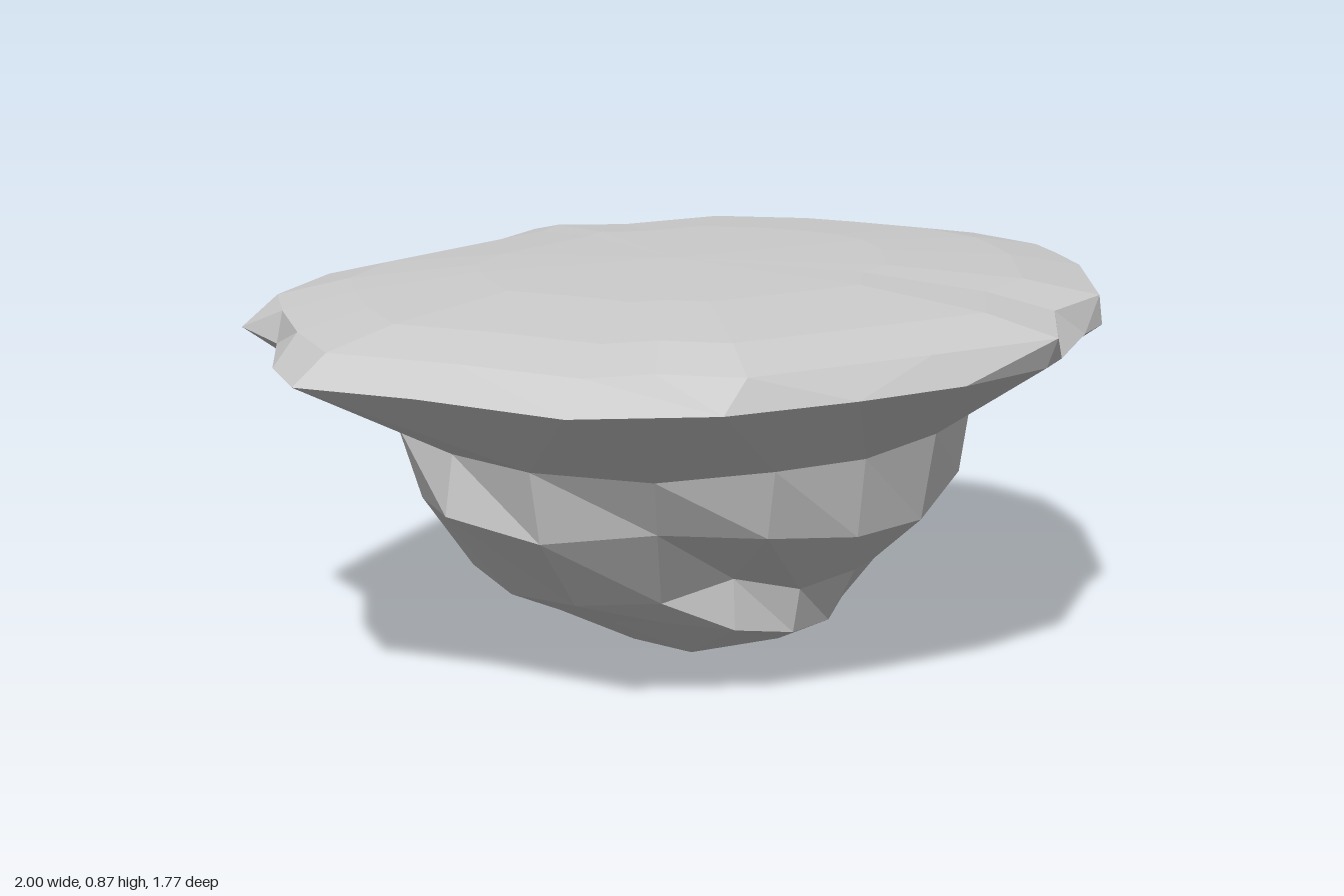
import * as THREE from 'three';

// Rim corners as [x, z], running from the left side round by the front
const LOWER_RIM = [
  [0.99, -0.05], [0.97, 0.26], [0.89, 0.38], [0.65, 0.65], [0.55, 0.69], [0.33, 0.82],
  [0.24, 0.86], [0, 0.865], [-0.25, 0.82], [-0.53, 0.74], [-0.77, 0.56], [-0.88, 0.24],
  [-1, 0], [-0.93, -0.17], [-0.79, -0.36], [-0.75, -0.55], [-0.57, -0.64], [-0.25, -0.78],
  [0, -0.89], [0.25, -0.79], [0.4, -0.69], [0.7, -0.61], [0.86, -0.41], [0.94, -0.28],
];
const UPPER_RIM = [
  [1, -0.06], [1, 0.14], [0.95, 0.25], [0.88, 0.38], [0.65, 0.64], [0.45, 0.69],
  [0.25, 0.88], [-0.05, 0.82], [-0.46, 0.73], [-0.57, 0.59], [-0.7, 0.53], [-0.8, 0.27],
  [-0.93, 0.02], [-0.86, -0.18], [-0.76, -0.38], [-0.67, -0.53], [-0.45, -0.65], [-0.12, -0.7],
  [0.15, -0.74], [0.25, -0.79], [0.4, -0.67], [0.69, -0.6], [0.86, -0.4], [0.92, -0.27],
];

// Ring from outline corners, scaled toward the middle
const outlineRing = (pts, y, s = 1) => pts.map(([x, z]) => new THREE.Vector3(x * s, y, z * s));

// Ring from radii at equal angles, with optional height offsets by index
const radialRing = (y, radii, lift = {}) => radii.map((r, i) => {
  const a = (i / radii.length) * Math.PI * 2;
  return new THREE.Vector3(r * Math.cos(a), y + (lift[i] ?? 0), r * Math.sin(a));
});

// Angle of corner i, counting past the end as a full turn
function angleAt(ring, i) {
  if (i >= ring.length) return angleAt(ring, i - ring.length) + Math.PI * 2;
  const a = Math.atan2(ring[i].z, ring[i].x);
  return i > 0 && a < 0 ? a + Math.PI * 2 : a;
}

// Triangles between an upper and a lower ring of any corner counts
function stitch(out, up, low) {
  const nu = up.length > 1 ? up.length : 0;
  const nl = low.length > 1 ? low.length : 0;
  let i = 0, j = 0;
  while (i < nu || j < nl) {
    const u = up[i % up.length], l = low[j % low.length];
    if (j >= nl || (i < nu && angleAt(up, i + 1) <= angleAt(low, j + 1))) {
      i++;
      out.push(u, up[i % up.length], l);
    } else {
      j++;
      out.push(u, low[j % low.length], l);
    }
  }
}

function ringMesh(name, rings) {
  const tris = [];
  for (let k = 0; k + 1 < rings.length; k++) stitch(tris, rings[k], rings[k + 1]);
  const geometry = new THREE.BufferGeometry().setFromPoints(tris);
  geometry.computeVertexNormals();
  const material = new THREE.MeshStandardMaterial({
    color: 0xcccccc, flatShading: true, side: THREE.DoubleSide,
  });
  const mesh = new THREE.Mesh(geometry, material);
  mesh.name = name;
  return mesh;
}

export function createModel() {
  const group = new THREE.Group();
  group.name = 'floatingIsland';

  const upperRim = outlineRing(UPPER_RIM, 0.793);
  const lowerRim = outlineRing(LOWER_RIM, 0.73);

  // Gently domed ground on top
  group.add(ringMesh('groundTop', [
    [new THREE.Vector3(0, 0.865, 0)],
    outlineRing(UPPER_RIM, 0.854, 0.5),
    outlineRing(UPPER_RIM, 0.827, 0.82),
    upperRim,
  ]));

  // Narrow faceted edge of the ground
  group.add(ringMesh('groundRim', [upperRim, lowerRim]));

  // Craggy rock with pits and a front ledge, tapering to a point
  group.add(ringMesh('rockUnderside', [
    lowerRim,
    radialRing(0.54,
      [0.72, 0.58, 0.64, 0.61, 0.59, 0.62, 0.64, 0.66, 0.61, 0.62, 0.61, 0.56, 0.59, 0.62, 0.6, 0.62],
      { 0: -0.01, 4: -0.01, 6: -0.01, 8: -0.01, 12: -0.01 }),
    radialRing(0.38,
      [0.65, 0.62, 0.62, 0.58, 0.57, 0.58, 0.56, 0.62, 0.63, 0.57, 0.54, 0.53, 0.46, 0.5, 0.61, 0.67],
      { 1: -0.01, 2: 0.02, 3: -0.03, 4: -0.02, 5: 0.01, 6: 0.02, 8: 0.02, 10: -0.02, 14: -0.02 }),
    radialRing(0.2,
      [0.46, 0.47, 0.44, 0.43, 0.4, 0.38, 0.44, 0.47, 0.46, 0.46, 0.46, 0.45, 0.43, 0.44, 0.45, 0.46],
      { 1: 0.02, 3: 0.02, 4: 0.01, 5: 0.05, 6: 0.02, 7: 0.01, 9: 0.02, 13: 0.02 }),
    radialRing(0.1,
      [0.35, 0.36, 0.37, 0.37, 0.38, 0.39, 0.38, 0.33, 0.31, 0.31, 0.31, 0.29, 0.28, 0.3, 0.31, 0.33],
      { 2: 0.01, 4: 0.01, 5: 0.04, 6: 0.06, 7: 0.04, 8: 0.03, 9: 0.02 }),
    radialRing(0.03, [0.23, 0.24, 0.18, 0.12, 0.12, 0.16]),
    [new THREE.Vector3(-0.03, 0, 0)],
  ]));

  return group;
}
